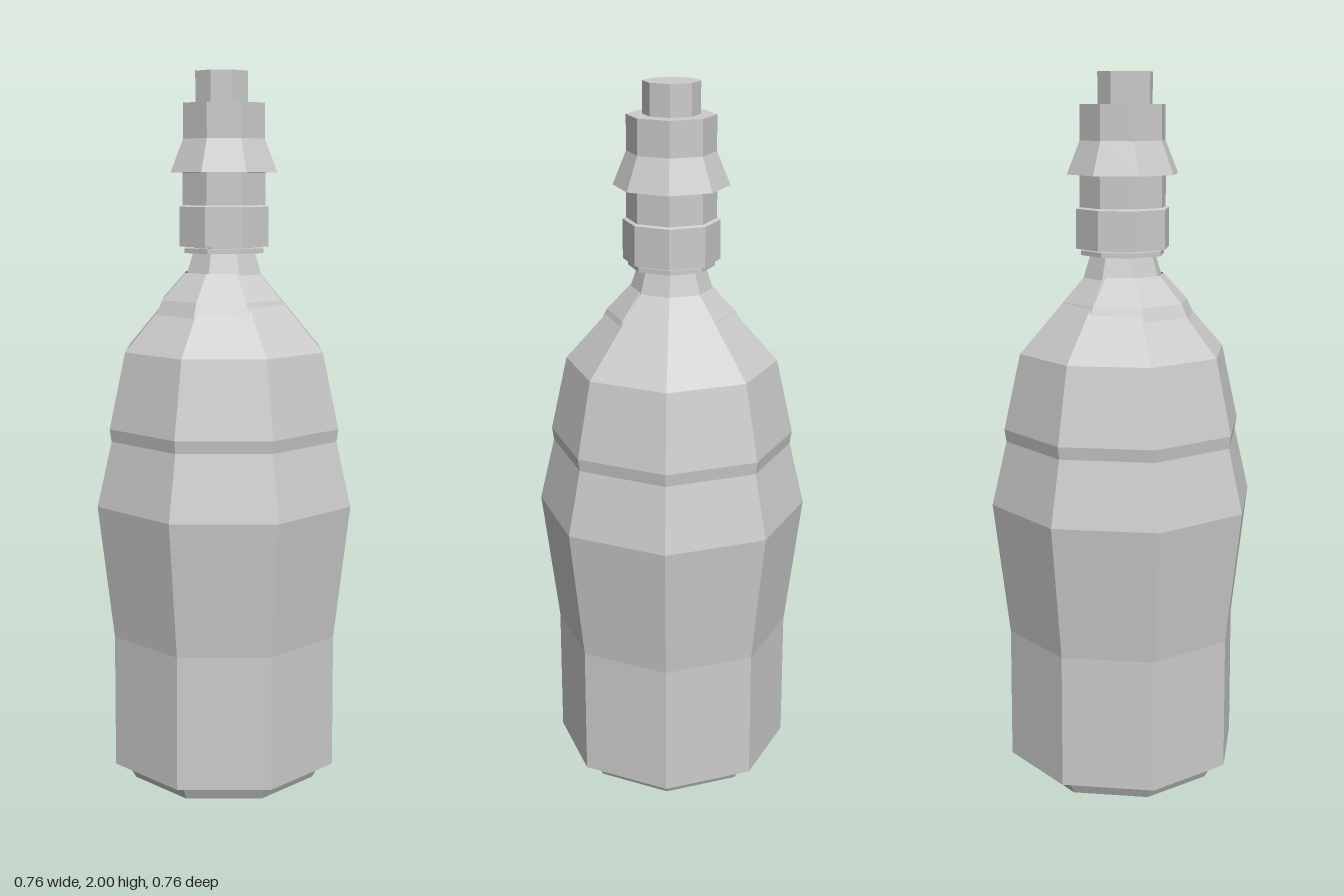
import * as THREE from 'three';

const SIDES = 8;

// Faceted turned part from [radius, height] points, listed bottom to top
function turned(name, points, x = 0, z = 0) {
  const profile = points.map(([r, y]) => new THREE.Vector2(r, y));
  const material = new THREE.MeshStandardMaterial({
    color: 0xcccccc, flatShading: true, side: THREE.DoubleSide,
  });
  const mesh = new THREE.Mesh(new THREE.LatheGeometry(profile, SIDES), material);
  mesh.name = name;
  mesh.position.set(x, 0, z);
  return mesh;
}

export function createModel() {
  const group = new THREE.Group();
  group.name = 'bottle';

  // Stepped foot, waisted body, shoulder and neck
  group.add(turned('body', [
    [0, 0.005], [0.21, 0.005], [0.22, 0], [0.225, 0.01], [0.275, 0.012],
    [0.295, 0.05], [0.335, 0.062], [0.333, 0.44], [0.378, 0.82],
    [0.335, 1.0], [0.34, 1.035], [0.293, 1.245], [0.112, 1.45],
    [0.09, 1.52], [0.09, 1.56],
  ]));

  // Thin sleeve on the shoulder, slightly off centre
  group.add(turned('shoulderSleeve', [
    [0.196, 1.345], [0.176, 1.385], [0.108, 1.458],
  ], -0.008, 0.002));

  // Lip below the cap
  group.add(turned('neckLip', [
    [0.085, 1.512], [0.118, 1.512], [0.118, 1.525], [0.085, 1.525],
  ]));

  // Two-step collar
  group.add(turned('collar', [
    [0.08, 1.53], [0.132, 1.53], [0.132, 1.638], [0.122, 1.642],
    [0.122, 1.735], [0.08, 1.735],
  ]));

  // Cap with a flared skirt
  group.add(turned('cap', [
    [0.1, 1.73], [0.157, 1.73], [0.12, 1.82], [0.12, 1.915], [0, 1.915],
  ]));

  // Stopper on top
  group.add(turned('stopper', [
    [0.077, 1.91], [0.077, 2], [0, 2],
  ], -0.007));

  return group;
}
